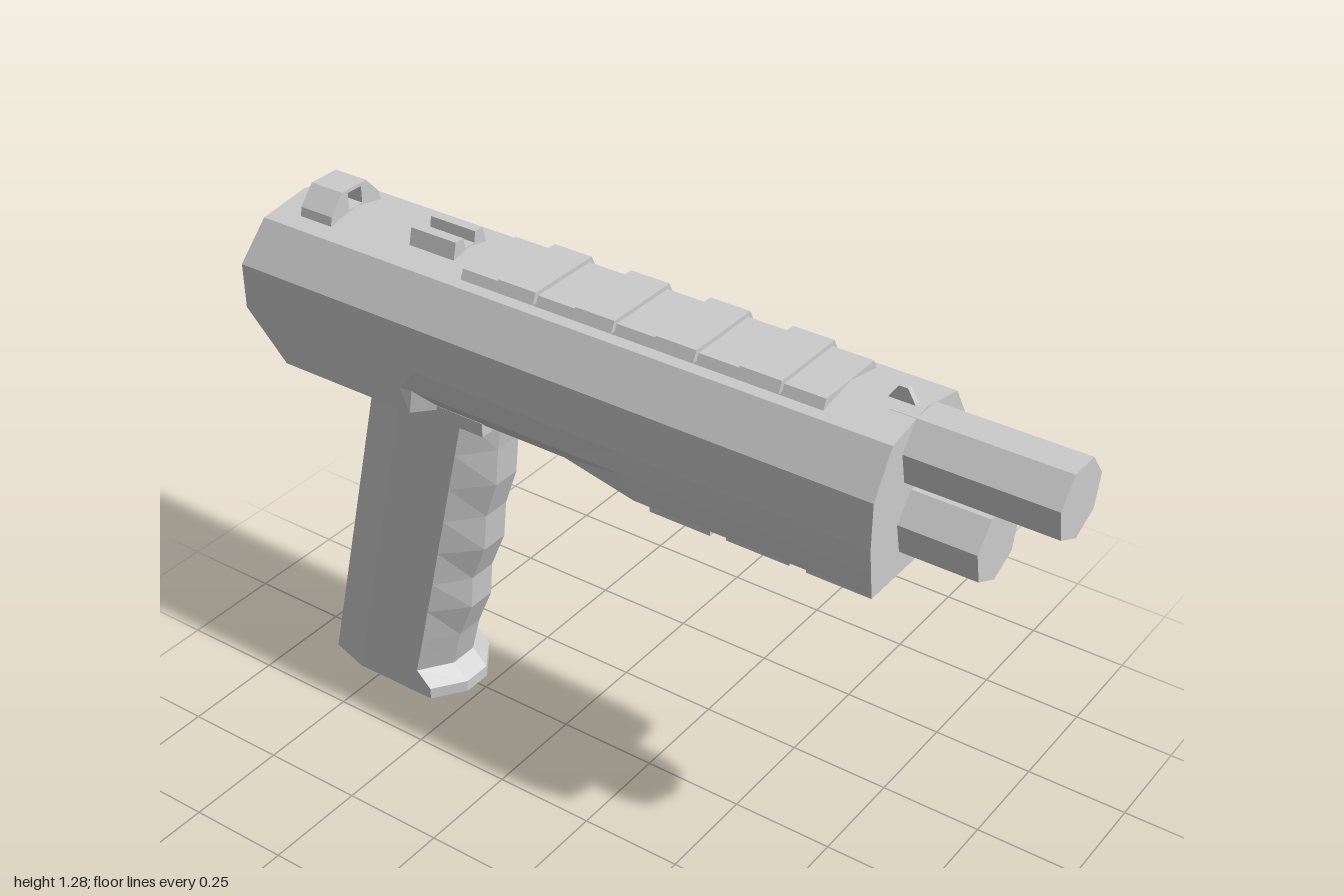
import * as THREE from 'three';

const material = new THREE.MeshStandardMaterial({ color: 0xcccccc, flatShading: true });

// Skins a list of equal-length closed rings and caps both ends.
function loft(rings) {
  const n = rings[0].length;
  const tris = [];
  for (let r = 0; r < rings.length - 1; r++) {
    for (let i = 0; i < n; i++) {
      const j = (i + 1) % n;
      const [a, b, c, d] = [rings[r][i], rings[r][j], rings[r + 1][j], rings[r + 1][i]];
      tris.push([a, b, c], [a, c, d]);
    }
  }
  const cap = (ring, flip) => {
    const mid = ring.reduce((m, p) => m.map((v, k) => v + p[k] / n), [0, 0, 0]);
    ring.forEach((p, i) => {
      const q = ring[(i + 1) % n];
      tris.push(flip ? [mid, q, p] : [mid, p, q]);
    });
  };
  cap(rings[0], true);
  cap(rings[rings.length - 1], false);
  // Turn the faces outward if the enclosed volume is negative.
  const V = (p) => new THREE.Vector3(...p);
  const volume = tris.reduce((s, [a, b, c]) => s + V(a).dot(V(b).cross(V(c))), 0);
  if (volume < 0) tris.forEach((t) => t.reverse());
  const geometry = new THREE.BufferGeometry();
  geometry.setAttribute('position', new THREE.Float32BufferAttribute(tris.flat(2), 3));
  geometry.computeVertexNormals();
  return geometry;
}

// Half outline from one centre line to the other, mirrored into a full ring.
const mirrorRing = (half) => [
  ...half,
  ...half.filter((p) => p[0] !== 0).reverse().map(([x, y, z]) => [-x, y, z]),
];

export function createModel() {
  const model = new THREE.Group();

  const add = (name, geometry, x = 0, y = 0, z = 0) => {
    const mesh = new THREE.Mesh(geometry, material);
    mesh.name = name;
    mesh.position.set(x, y, z);
    model.add(mesh);
    return mesh;
  };
  const block = (name, w, y0, y1, z0, z1) =>
    add(name, new THREE.BoxGeometry(w, y1 - y0, z1 - z0), 0, (y0 + y1) / 2, (z0 + z1) / 2);
  // Extrudes a front-facing outline between two z values.
  const extrude = (name, points, z0, z1, hole) => {
    const shape = new THREE.Shape(points.map((p) => new THREE.Vector2(...p)));
    if (hole) shape.holes.push(new THREE.Path(hole.map((p) => new THREE.Vector2(...p))));
    add(name, new THREE.ExtrudeGeometry(shape, { depth: z1 - z0, bevelEnabled: false }), 0, 0, z0);
  };

  // Body: faceted section with a pinched underside and a bevelled rear
  const bodyRing = (z, bottomX, midX, zBottom = z, zMid = z, zSide = z, zTop = z, zRidge = z) =>
    mirrorRing([
      [bottomX, 0.88, zBottom],
      [midX, 0.94, zMid],
      [0.185, 1.0, zSide],
      [0.185, 1.11, zSide],
      [0.125, 1.21, zTop],
      [0, 1.235, zRidge],
    ]);
  add('body', loft([
    bodyRing(0.66, 0.168, 0.177),
    bodyRing(0.06, 0.168, 0.177, 0.08, 0.05),
    bodyRing(-0.13, 0.12, 0.175, -0.14, -0.12),
    bodyRing(-0.5, 0.12, 0.175, -0.48, -0.52),
    bodyRing(-0.54, 0.175, 0.18, -0.53, -0.55),
    bodyRing(-1, 0.175, 0.18, -0.9, -0.95, -1, -0.975, -0.965),
  ]));

  // Two seven-sided tubes at the front, point downward
  const tube = (name, y, z1) => {
    const z0 = 0.6;
    const geometry = new THREE.CylinderGeometry(0.087, 0.087, z1 - z0, 7);
    geometry.rotateX(Math.PI / 2);
    // Puts the first corner at the lowest point.
    const p = geometry.attributes.position;
    const last = p.count - 1;
    const angle = Math.atan2(p.getY(last), p.getX(last));
    geometry.rotateZ(-Math.PI / 2 - angle);
    add(name, geometry, 0, y, (z0 + z1) / 2);
  };
  tube('upperTube', 1.15, 1);
  tube('lowerTube', 0.985, 0.84);

  // Top rail with four raised slats
  extrude('topRail', [[-0.105, 1.205], [0.105, 1.205], [0.09, 1.237], [-0.09, 1.237]], -0.425, 0.488);
  for (let i = 0; i < 4; i++) {
    const z = 0.34 - i * 0.204;
    extrude('railSlat', [[-0.11, 1.222], [0.11, 1.222], [0.098, 1.247], [-0.098, 1.247]], z - 0.05, z + 0.05);
  }

  // Lower rail pads
  [[0.49, 0.645, 0.85], [0.295, 0.45, 0.85], [0.1, 0.255, 0.845]].forEach(([z0, z1, y]) =>
    block('lowerRailPad', 0.28, y, 0.89, z0, z1));

  // Front blade
  add('frontBlade', loft([-0.007, 0.007].map((x) =>
    [[0.645, 1.225], [0.62, 1.266], [0.6, 1.266], [0.572, 1.225]].map(([z, y]) => [x, y, z]))));

  // Middle notch piece
  extrude('middleNotch', [
    [-0.058, 1.215], [0.058, 1.215], [0.046, 1.263], [0.02, 1.263],
    [0.016, 1.237], [-0.016, 1.237], [-0.02, 1.263], [-0.046, 1.263],
  ], -0.605, -0.48);

  // Rear window piece
  extrude('rearWindow',
    [[-0.085, 1.21], [0.085, 1.21], [0.08, 1.24], [0.04, 1.284], [-0.04, 1.284], [-0.08, 1.24]],
    -0.9, -0.81,
    [[-0.022, 1.235], [-0.022, 1.276], [0.022, 1.276], [0.022, 1.235]]);

  // Collar between body and grip
  block('gripCollar', 0.26, 0.855, 0.89, -0.76, -0.36);

  // Grip: slanted, with a wavy front and a flared foot; rows are y, front z, front corner z
  const gripRows = [
    [0.87, -0.378, -0.432],
    [0.76, -0.395, -0.458],
    [0.66, -0.405, -0.482],
    [0.56, -0.44, -0.505],
    [0.46, -0.45, -0.529],
    [0.36, -0.492, -0.552],
    [0.27, -0.5, -0.574],
    [0.17, -0.542, -0.597],
    [0.07, -0.568, -0.622],
    [0.03, -0.527, -0.582],
    [0, -0.527, -0.582],
  ];
  add('grip', loft(gripRows.map(([y, front, corner]) => {
    const back = -0.94 + y * 0.232;
    return mirrorRing([
      [0.037, y, front],
      [0.115, y, corner],
      [0.115, y, back + 0.13],
      [0.085, y, back + 0.025],
      [0.035, y, back],
    ]);
  })));

  return model;
}
